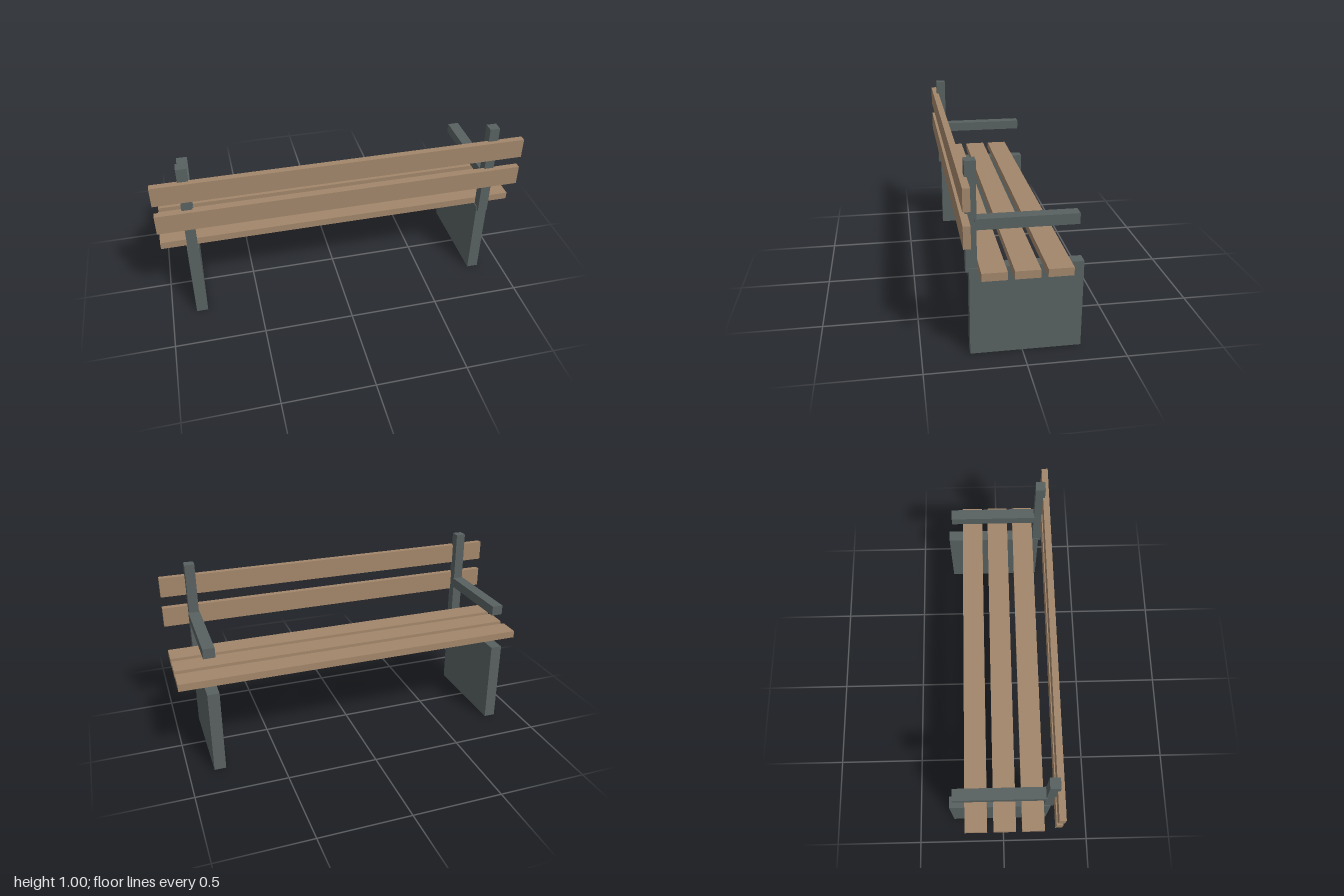
import * as THREE from 'three';

const wood = new THREE.MeshStandardMaterial({ color: 0xa2866a });
wood.name = 'wood';
const slate = new THREE.MeshStandardMaterial({ color: 0x586160 });
slate.name = 'slate grey';

// Box given by its extents along each axis
function box(name, material, [x0, x1], [y0, y1], [z0, z1]) {
  const mesh = new THREE.Mesh(new THREE.BoxGeometry(x1 - x0, y1 - y0, z1 - z0), material);
  mesh.position.set((x0 + x1) / 2, (y0 + y1) / 2, (z0 + z1) / 2);
  mesh.name = name;
  return mesh;
}

export function createModel() {
  const bench = new THREE.Group();
  bench.name = 'bench';

  // Three seat slats
  for (const z of [-0.152, 0.004, 0.159]) {
    bench.add(box('seatSlat', wood, [-1, 1], [0.468, 0.509], [z - 0.061, z + 0.061]));
  }

  // Two backrest slats
  for (const y of [0.635, 0.813]) {
    bench.add(box('backSlat', wood, [-1, 1], [y, y + 0.111], [0.265, 0.3]));
  }

  // End supports: leg slab, back post and armrest on each side
  for (const [side, s] of [['left', 1], ['right', -1]]) {
    const support = new THREE.Group();
    support.name = side + 'Support';
    const span = (a, b) => (s > 0 ? [a, b] : [-b, -a]);
    support.add(
      box('legSlab', slate, span(0.8, 0.864), [0, 0.468], [-0.298, 0.26]),
      box('backPost', slate, span(0.804, 0.859), [0.447, 1], [0.222, 0.276]),
      box('armrest', slate, span(0.8, 0.863), [0.663, 0.718], [-0.269, 0.23]),
    );
    bench.add(support);
  }

  return bench;
}
